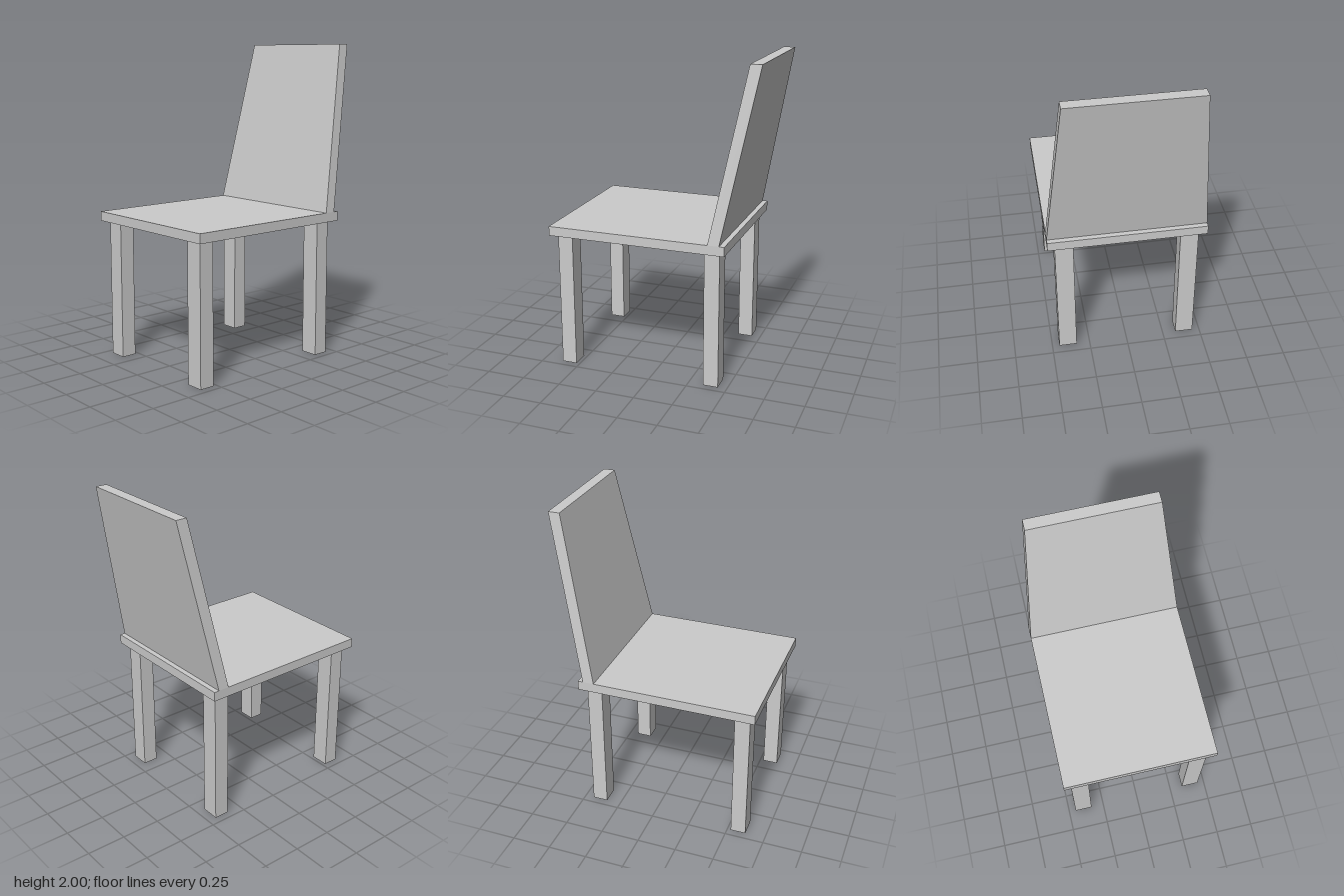
import * as THREE from 'three';

const material = new THREE.MeshStandardMaterial({ color: 0xcccccc, flatShading: true });

// Box given by its extents along each axis
function block(name, [x0, x1], [y0, y1], [z0, z1]) {
  const geometry = new THREE.BoxGeometry(x1 - x0, y1 - y0, z1 - z0);
  geometry.translate((x0 + x1) / 2, (y0 + y1) / 2, (z0 + z1) / 2);
  const mesh = new THREE.Mesh(geometry, material);
  mesh.name = name;
  return mesh;
}

export function createModel() {
  const group = new THREE.Group();
  group.name = 'chair';

  const seatTop = 0.94, seatBottom = 0.88;
  group.add(block('seat', [-0.66, 0.483], [seatBottom, seatTop], [-0.5, 0.5]));

  // Four square legs, mirrored across z
  for (const [label, x] of [['front', [-0.62, -0.523]], ['rear', [0.345, 0.442]]]) {
    group.add(block(label + 'LegLeft', x, [0, seatBottom], [-0.453, -0.337]));
    group.add(block(label + 'LegRight', x, [0, seatBottom], [0.337, 0.453]));
  }

  // Backrest: a slab leaning towards +x and narrowing to the top
  const back = block('backrest', [0.378, 0.45], [seatTop, 2], [-0.5, 0.5]);
  const p = back.geometry.attributes.position;
  for (let i = 0; i < p.count; i++) {
    const t = (p.getY(i) - seatTop) / (2 - seatTop);
    p.setX(i, p.getX(i) + 0.208 * t);
    p.setZ(i, p.getZ(i) * (1 - 0.2 * t));
  }
  back.geometry.computeVertexNormals();
  group.add(back);

  return group;
}
